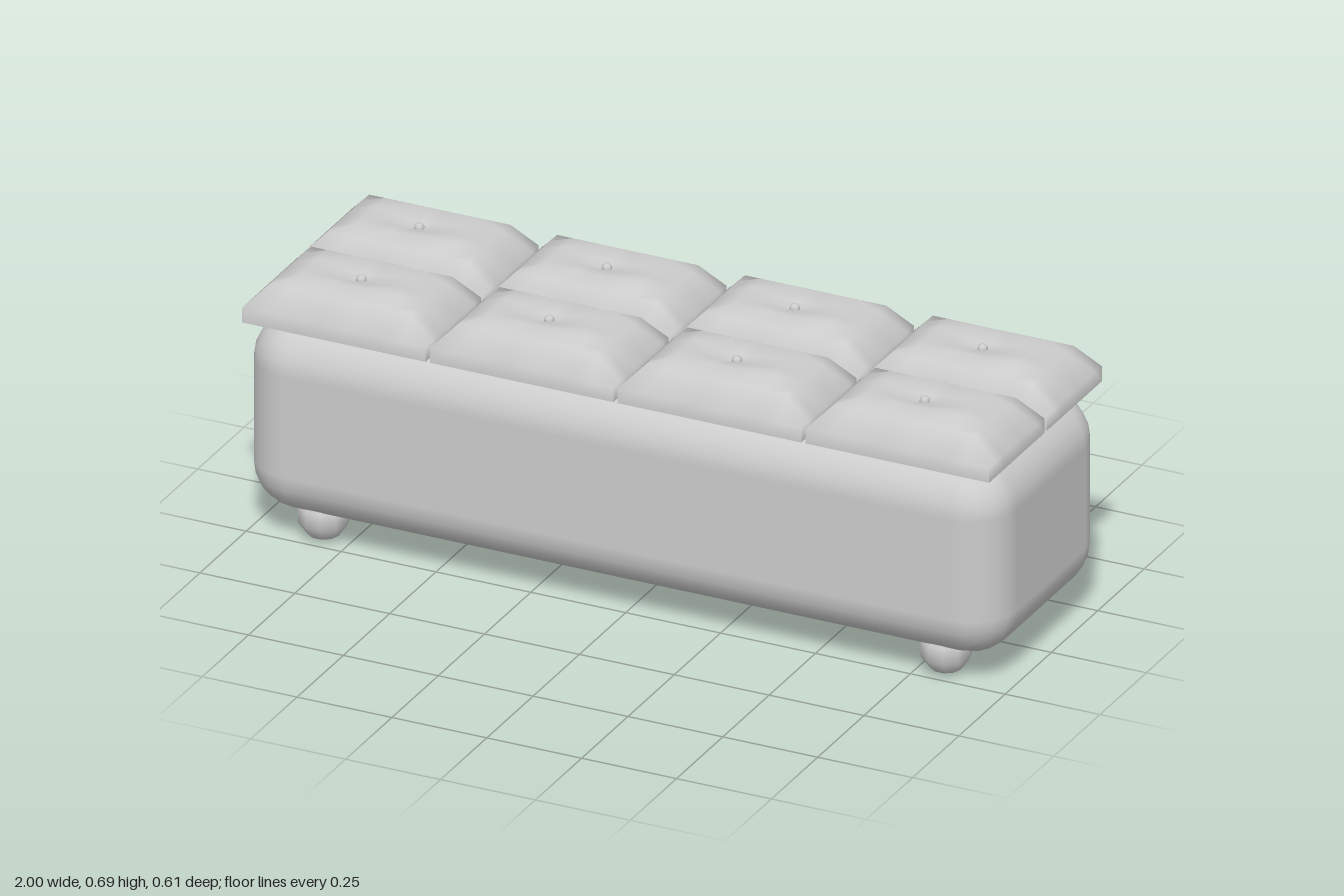
import * as THREE from 'three';
import { RoundedBoxGeometry } from 'three/addons/geometries/RoundedBoxGeometry.js';

const fabric = new THREE.MeshStandardMaterial({ color: 0xcccccc });
fabric.name = 'light grey';

// Cushion outlines from the centre outwards: half width, half depth, height
const RINGS = [
  [0, 0, 0.672],
  [0.035, 0.025, 0.682],
  [0.128, 0.075, 0.695],
  [0.186, 0.112, 0.675],
  [0.242, 0.149, 0.617],
  [0.242, 0.149, 0.578],
];

function cushionGeometry() {
  const n = RINGS.length - 1;
  const geometry = new THREE.PlaneGeometry(2 * n, 2 * n, 2 * n, 2 * n).rotateX(-Math.PI / 2);
  const pos = geometry.attributes.position;
  for (let k = 0; k < pos.count; k++) {
    const i = Math.round(pos.getX(k));
    const j = Math.round(pos.getZ(k));
    const a = Math.abs(i), b = Math.abs(j);
    pos.setXYZ(k, Math.sign(i) * RINGS[a][0], RINGS[Math.max(a, b)][2], Math.sign(j) * RINGS[b][1]);
  }
  geometry.computeVertexNormals();
  return geometry;
}

export function createModel() {
  const model = new THREE.Group();
  model.name = 'tuftedBench';

  const add = (name, geometry, x, y, z, parent = model) => {
    const mesh = new THREE.Mesh(geometry, fabric);
    mesh.name = name;
    mesh.position.set(x, y, z);
    parent.add(mesh);
    return mesh;
  };

  // Rounded upholstered body
  add('body', new RoundedBoxGeometry(2, 0.508, 0.61, 3, 0.122), 0, 0.324, 0);

  // Ball feet
  const foot = new THREE.SphereGeometry(0.065, 10, 5);
  for (const x of [-0.82, 0.82])
    for (const z of [-0.2, 0.2]) add('foot', foot, x, 0.065, z);

  // Two rows of four cushions, each with a sunken button
  const top = cushionGeometry();
  const underside = new THREE.PlaneGeometry(0.484, 0.298).rotateX(Math.PI / 2);
  const button = new THREE.SphereGeometry(0.013, 10, 6);
  for (let column = 0; column < 4; column++) {
    for (const z of [-0.156, 0.156]) {
      const cushion = new THREE.Group();
      cushion.name = 'cushion';
      cushion.position.set((column - 1.5) * 0.495, 0, z);
      add('cushionTop', top, 0, 0, 0, cushion);
      add('cushionUnderside', underside, 0, 0.578, 0, cushion);
      add('button', button, 0, 0.677, 0, cushion);
      model.add(cushion);
    }
  }
  return model;
}
